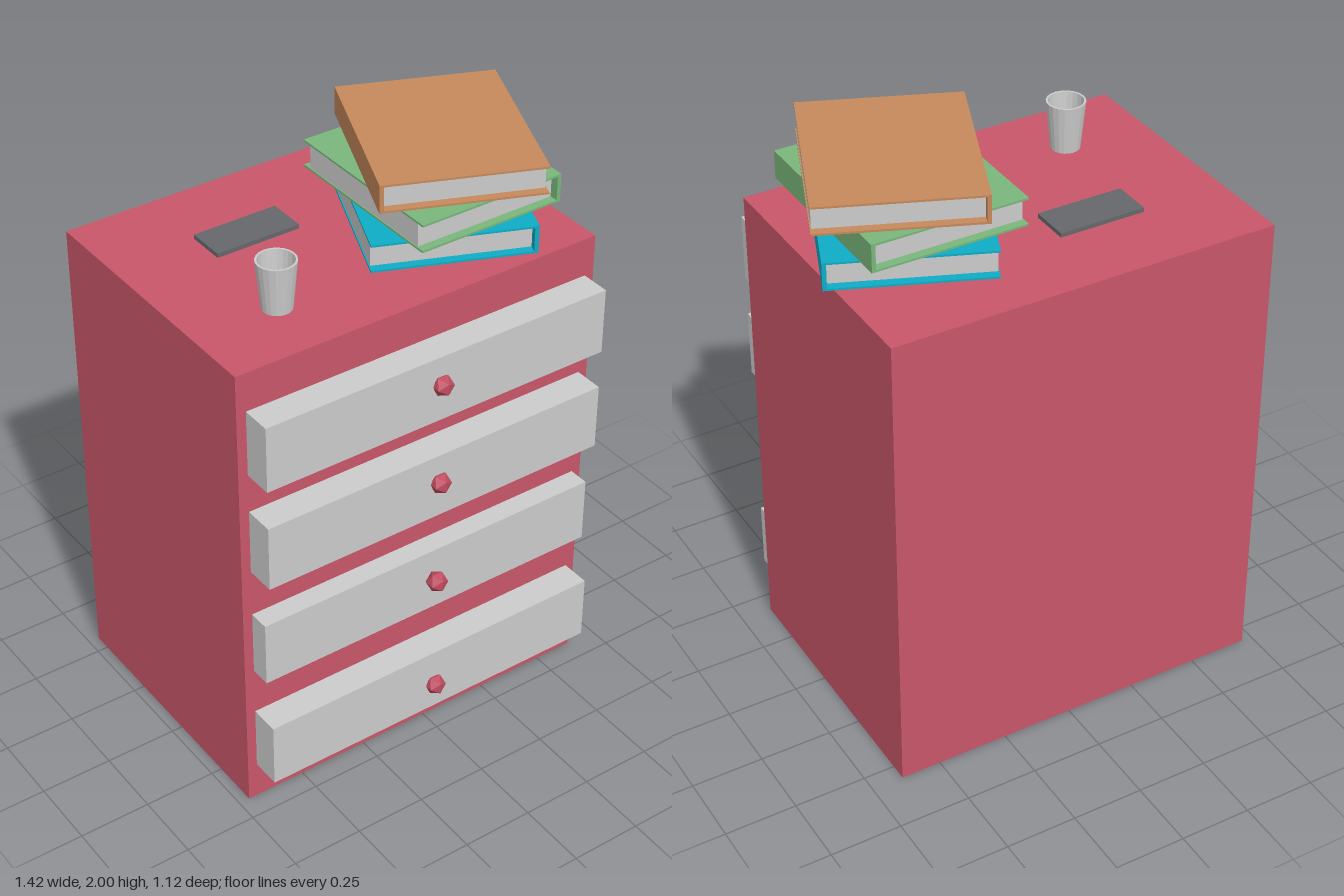
import * as THREE from 'three';

const mat = (color, extra = {}) => new THREE.MeshStandardMaterial({ color, ...extra });
const GREY = mat(0xcccccc);
const RED = mat(0xc85669);

// Box given by its min/max corners
function box(name, [x0, y0, z0], [x1, y1, z1], material) {
  const m = new THREE.Mesh(new THREE.BoxGeometry(x1 - x0, y1 - y0, z1 - z0), material);
  m.position.set((x0 + x1) / 2, (y0 + y1) / 2, (z0 + z1) / 2);
  m.name = name;
  return m;
}

// Hardback book: two covers, a spine on one long side and an inset page block
function book(name, color, x, y, angle, spineSide) {
  const W = 0.268, D = 0.32, H = 0.098, T = 0.007, S = 0.014, INSET = 0.03;
  const cover = mat(color);
  const g = new THREE.Group();
  g.name = name;
  g.add(
    box('bottomCover', [-W, 0, -D], [W, T, D], cover),
    box('topCover', [-W, H - T, -D], [W, H, D], cover),
    box('spine', [W - S, T, -D], [W, H - T, D], cover),
    box('pages', [-W + 0.004, T, -D + INSET], [W - S, H - T, D - INSET], GREY)
  );
  g.position.set(x, y, 0);
  g.rotation.y = angle + (spineSide < 0 ? Math.PI : 0);
  return g;
}

export function createModel() {
  const model = new THREE.Group();
  model.name = 'chestOfDrawers';

  // Cabinet
  model.add(box('cabinet', [-0.712, 0, -0.56], [0.64, 1.7, 0.42], RED));

  // Drawer fronts with faceted knobs: [bottom, front z, knob y, knob z]
  const knobMat = mat(0xc04c60, { flatShading: true });
  const drawers = [
    [0.138, 0.525, 0.24, 0.532],
    [0.547, 0.493, 0.682, 0.528],
    [0.954, 0.525, 1.087, 0.532],
    [1.328, 0.525, 1.462, 0.532],
  ];
  for (const [y, front, knobY, knobZ] of drawers) {
    model.add(box('drawerFront', [-0.678, y, 0.4], [0.606, y + 0.235, front], GREY));
    const knob = new THREE.Mesh(new THREE.IcosahedronGeometry(0.037, 0), knobMat);
    knob.position.set(-0.037, knobY, knobZ);
    knob.name = 'knob';
    model.add(knob);
  }

  // Stack of books
  const TILT = -0.393;
  model.add(
    book('bottomBook', 0x0fadc6, 0.303, 1.701, TILT, 1),
    book('middleBook', 0x79b67b, 0.303, 1.801, 0, 1),
    book('topBook', 0xc6895b, 0.334, 1.902, TILT, -1)
  );

  // Flat slab lying on the top
  model.add(box('phone', [-0.405, 1.7, -0.29], [-0.1, 1.715, -0.152], mat(0x66676a)));

  // Tapered cup, open at the top
  const profile = [[0, 0], [0.05, 0], [0.066, 0.17], [0.059, 0.17], [0.046, 0.015], [0, 0.015]]
    .map(([r, y]) => new THREE.Vector2(r, y));
  const cup = new THREE.Mesh(
    new THREE.LatheGeometry(profile, 20),
    mat(0xcccccc, { flatShading: true, side: THREE.DoubleSide })
  );
  cup.position.set(-0.408, 1.701, 0.185);
  cup.name = 'cup';
  model.add(cup);

  return model;
}
